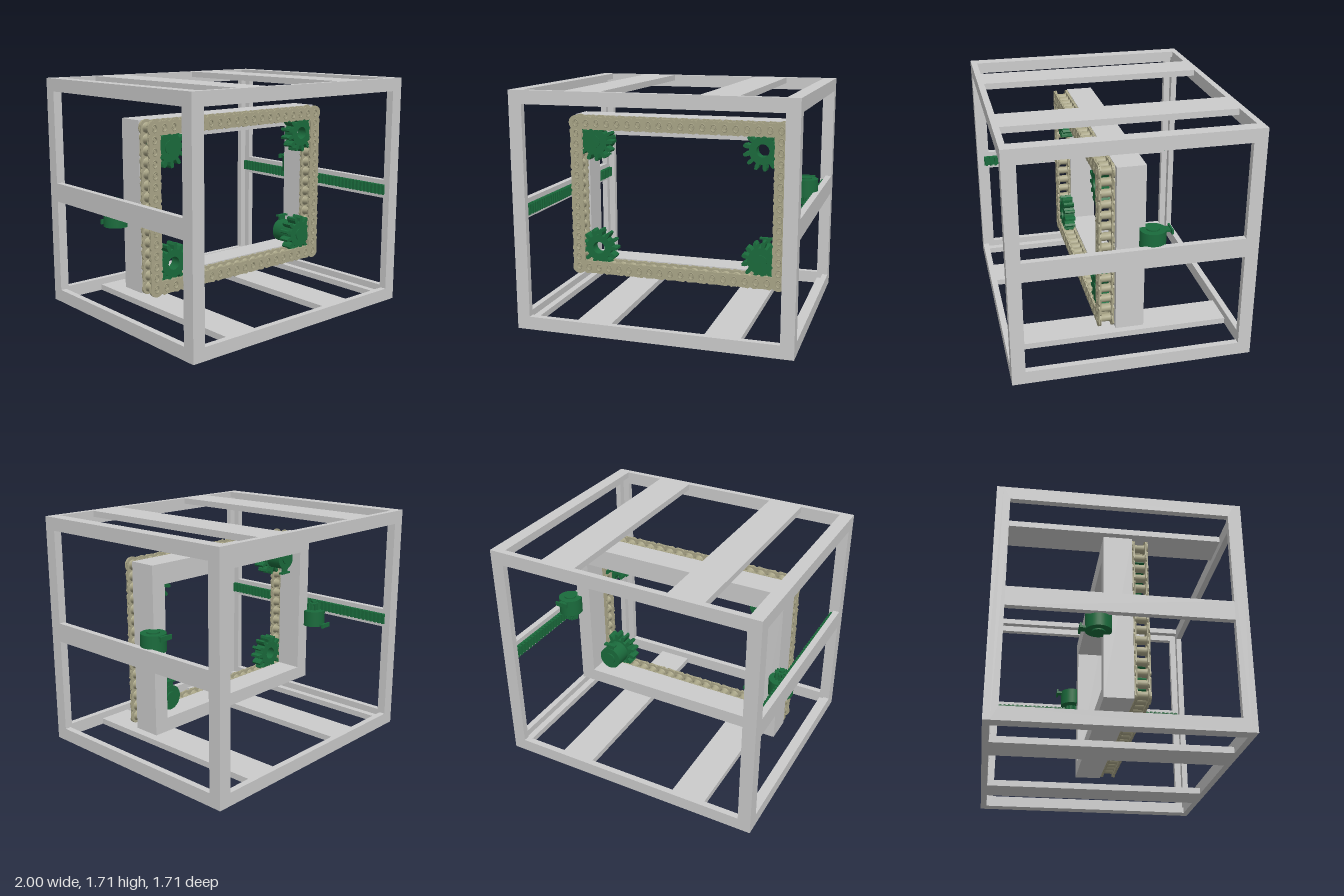
import * as THREE from 'three';

const grey = new THREE.MeshStandardMaterial({ color: 0xcccccc });
const green = new THREE.MeshStandardMaterial({ color: 0x1a6b3c });
const beige = new THREE.MeshStandardMaterial({ color: 0xaaa688 });

function add(parent, name, geometry, material, x = 0, y = 0, z = 0) {
  const mesh = new THREE.Mesh(geometry, material);
  mesh.name = name;
  mesh.position.set(x, y, z);
  parent.add(mesh);
  return mesh;
}

// Box given by its lower and upper corners
function bar(parent, name, a, b, material = grey) {
  const g = new THREE.BoxGeometry(b[0] - a[0], b[1] - a[1], b[2] - a[2]);
  return add(parent, name, g, material, (a[0] + b[0]) / 2, (a[1] + b[1]) / 2, (a[2] + b[2]) / 2);
}

// Rectangular ring, centred, facing z
function ringGeometry(w, h, holeW, holeH, depth) {
  const rect = (C, a, b) => new C([[-a, -b], [a, -b], [a, b], [-a, b]].map(p => new THREE.Vector2(p[0] / 2, p[1] / 2)));
  const shape = rect(THREE.Shape, w, h);
  shape.holes.push(rect(THREE.Path, holeW, holeH));
  return new THREE.ExtrudeGeometry(shape, { depth, bevelEnabled: false }).translate(0, 0, -depth / 2);
}

// Toothed wheel around z, with a bore
function gearGeometry(teeth, root, tip, bore, depth) {
  const pts = [];
  const profile = [[-0.5, root], [-0.27, root], [-0.24, tip * 0.88], [-0.12, tip], [0.12, tip], [0.24, tip * 0.88], [0.27, root]];
  for (let i = 0; i < teeth; i++) {
    for (const [t, r] of profile) {
      const a = (i + t) / teeth * Math.PI * 2;
      pts.push(new THREE.Vector2(Math.cos(a) * r, Math.sin(a) * r));
    }
  }
  const shape = new THREE.Shape(pts);
  shape.holes.push(new THREE.Path().absarc(0, 0, bore, 0, Math.PI * 2, true));
  return new THREE.ExtrudeGeometry(shape, { depth, bevelEnabled: false, curveSegments: 20 }).translate(0, 0, -depth / 2);
}

// Drum motor standing on y = 0 with cap, mount and plug
function makeMotor() {
  const motor = new THREE.Group();
  motor.name = 'motor';
  add(motor, 'motorBody', new THREE.CylinderGeometry(0.09, 0.09, 0.125, 32), green, 0, 0.0675, 0);
  add(motor, 'motorCap', new THREE.CylinderGeometry(0.045, 0.045, 0.012, 24), green, 0, 0.134, 0);
  add(motor, 'motorShaft', new THREE.CylinderGeometry(0.02, 0.02, 0.08, 16), green, 0, -0.03, 0);
  bar(motor, 'plugNeck', [-0.03, 0.11, -0.12], [0.03, 0.125, -0.08], green);
  bar(motor, 'plugPlate', [-0.05, 0.1, -0.128], [0.05, 0.134, -0.115], green);
  return motor;
}

function makeOuterFrame() {
  const frame = new THREE.Group();
  frame.name = 'outerFrame';
  const endRing = ringGeometry(2, 1.71, 1.81, 1.52, 0.045);
  const sideRing = ringGeometry(1.62, 1.71, 1.52, 1.52, 0.045).rotateY(Math.PI / 2);
  for (const s of [-1, 1]) {
    add(frame, 'endRing', endRing, grey, 0, 0.855, s * 0.8325);
    add(frame, 'sideRing', sideRing, grey, s * 0.9775, 0.855, 0);
    // Flat legs of the side rails, and slats, at top and bottom
    for (const y of [0, 1.665]) {
      const x = s * 0.93;
      bar(frame, 'railLeg', [x - 0.025, y, -0.81], [x + 0.025, y + 0.045, 0.81]);
      bar(frame, 'slat', [s * 0.475 - 0.13, y, -0.81], [s * 0.475 + 0.13, y + 0.045, 0.81]);
    }
    bar(frame, 'middleRail', [s * 0.9775 - 0.0225, 0.79, -0.76], [s * 0.9775 + 0.0225, 0.93, 0.76]);
  }
  return frame;
}

// Rack, pinion and motor on the side s
function makeSideDrive(s) {
  const drive = new THREE.Group();
  drive.name = s > 0 ? 'leftDrive' : 'rightDrive';
  bar(drive, 'rack', [s * 0.948 - 0.008, 0.82, -0.8], [s * 0.948 + 0.008, 0.895, 0.8], green);
  const tooth = new THREE.BoxGeometry(0.022, 0.075, 0.018);
  for (let i = 0; i < 44; i++) add(drive, 'rackTooth', tooth, green, s * 0.931, 0.8575, -0.78 + i * 0.0363);
  const pinion = gearGeometry(12, 0.033, 0.048, 0.01, 0.055).rotateX(Math.PI / 2);
  add(drive, 'pinion', pinion, green, s * 0.885, 0.8575, -0.14);
  const motor = makeMotor();
  motor.position.set(s * 0.89, s > 0 ? 0.89 : 0.83, -0.14);
  if (s < 0) motor.rotation.z = Math.PI;
  drive.add(motor);
  return drive;
}

// Corner sprockets, two of them driven
function makeSprockets() {
  const group = new THREE.Group();
  group.name = 'sprockets';
  for (const [x, y, driven] of [[-0.66, 1.275, true], [0.63, 1.265, false], [-0.64, 0.45, false], [0.63, 0.45, true]]) {
    add(group, 'sprocket', gearGeometry(13, 0.1, 0.147, driven ? 0.015 : 0.047, 0.085), green, x, y, 0.155);
    if (!driven) continue;
    const hub = new THREE.CylinderGeometry(0.047, 0.047, 0.012, 28).rotateX(Math.PI / 2);
    add(group, 'sprocketHub', hub, green, x, y, 0.198);
    const motor = makeMotor();
    motor.position.set(x, y, 0.11);
    motor.rotation.set(-Math.PI / 2, y < 0.8 ? Math.PI : 0, 0);
    group.add(motor);
  }
  return group;
}

function makeChain() {
  const chain = new THREE.Group();
  chain.name = 'chain';
  // Pin positions around a rectangle
  const corners = [[-0.8, 0.295], [0.765, 0.295], [0.765, 1.415], [-0.8, 1.415]];
  const pins = [];
  corners.forEach((c, k) => {
    const d = corners[(k + 1) % 4], n = k % 2 ? 14 : 19;
    for (let i = 0; i < n; i++) pins.push([c[0] + (d[0] - c[0]) * i / n, c[1] + (d[1] - c[1]) * i / n]);
  });

  // Waisted link plate with a hole at each pin
  const r = 0.056, half = 0.041;
  const plate = new THREE.Shape();
  plate.absarc(half, 0, r, -1.2, 1.2, false);
  plate.quadraticCurveTo(0, 0.04, -half - r * Math.cos(Math.PI - 1.2) - 0.04, r * Math.sin(1.2));
  plate.absarc(-half, 0, r, Math.PI - 1.2, Math.PI + 1.2, false);
  plate.quadraticCurveTo(0, -0.04, half + r * Math.cos(1.2), -r * Math.sin(1.2));
  for (const x of [-half, half]) plate.holes.push(new THREE.Path().absarc(x, 0, 0.016, 0, Math.PI * 2, true));
  const plateGeometry = new THREE.ExtrudeGeometry(plate, { depth: 0.009, bevelEnabled: false, curveSegments: 8 }).translate(0, 0, -0.0045);

  // Spool roller, pin and raised rim
  const spool = [[0, -0.045], [0.04, -0.045], [0.04, -0.038], [0.029, -0.032], [0.029, 0.032], [0.04, 0.038], [0.04, 0.045], [0, 0.045]];
  const roller = new THREE.LatheGeometry(spool.map(p => new THREE.Vector2(...p)), 14).rotateX(Math.PI / 2);
  const pin = new THREE.CylinderGeometry(0.012, 0.012, 0.112, 10).rotateX(Math.PI / 2);
  const rim = new THREE.TorusGeometry(0.02, 0.005, 5, 14);

  pins.forEach(([x, y], i) => {
    const [nx, ny] = pins[(i + 1) % pins.length];
    const angle = Math.atan2(ny - y, nx - x);
    add(chain, 'roller', roller, beige, x, y, 0.157);
    add(chain, 'pin', pin, beige, x, y, 0.157);
    for (const s of [-1, 1]) {
      const offset = i % 2 ? 0.051 : 0.041;
      add(chain, 'linkPlate', plateGeometry, beige, (x + nx) / 2, (y + ny) / 2, 0.157 + s * offset).rotation.z = angle;
      const ring = add(chain, 'pinRim', rim, beige, x, y, 0.157 + s * 0.054);
      ring.scale.y = 1.3;
    }
  });
  return chain;
}

export function createModel() {
  const model = new THREE.Group();
  model.name = 'framedChainDrive';
  model.add(makeOuterFrame());
  // Inner frame carrying the chain
  const inner = new THREE.Group();
  inner.name = 'innerFrame';
  for (const s of [-1, 1]) bar(inner, 'innerPost', [s * 0.795 - 0.055, 0.25, -0.1], [s * 0.795 + 0.055, 1.465, 0.1]);
  bar(inner, 'innerTopBeam', [-0.74, 1.32, -0.1], [0.74, 1.465, 0.1]);
  bar(inner, 'innerBottomBeam', [-0.74, 0.25, -0.1], [0.74, 0.35, 0.1]);
  model.add(inner, makeSprockets(), makeChain(), makeSideDrive(1), makeSideDrive(-1));
  return model;
}
